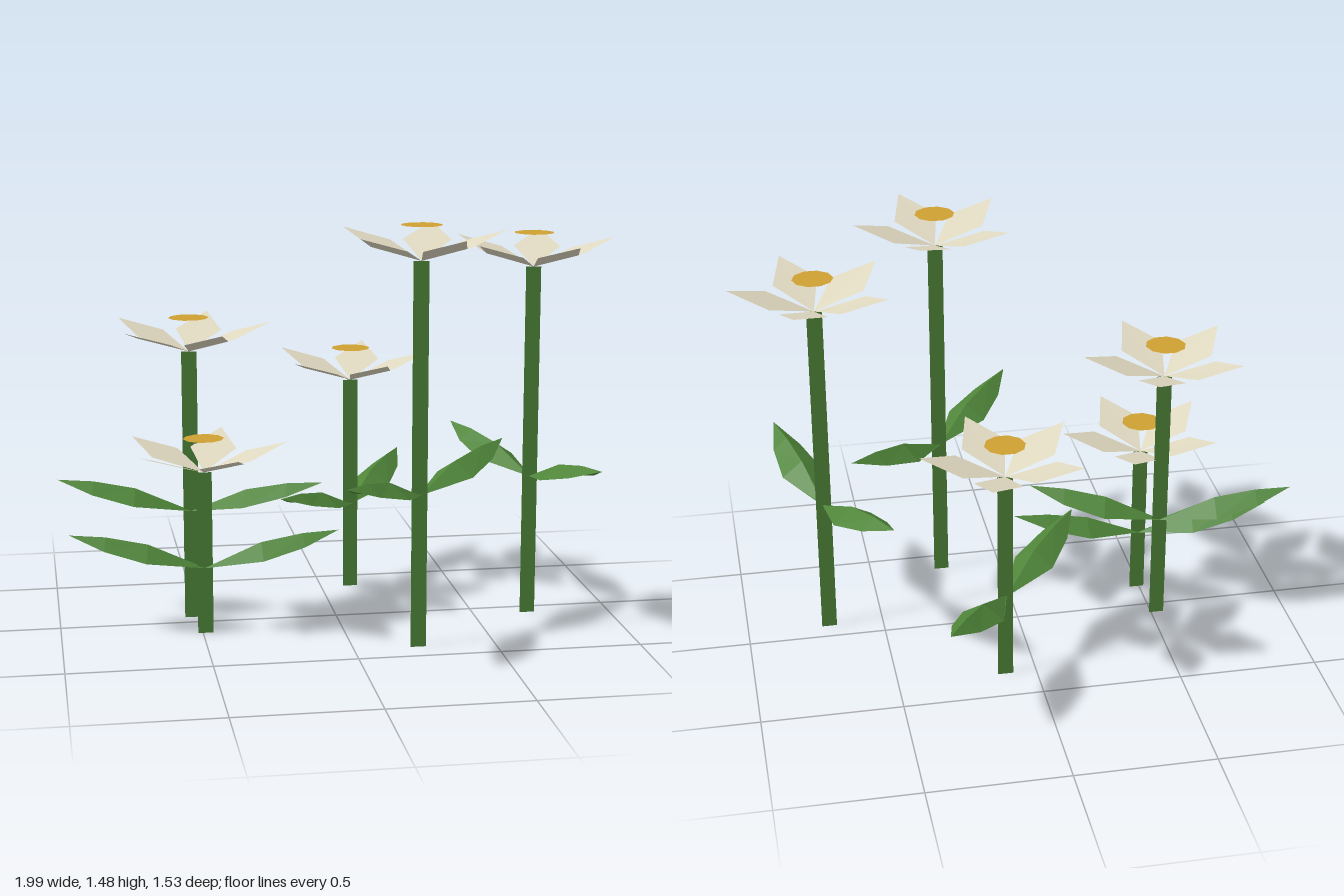
import * as THREE from 'three';

const mat = (name, color) => {
  const m = new THREE.MeshStandardMaterial({ color, flatShading: true, side: THREE.DoubleSide });
  m.name = name;
  return m;
};

function surface(points, index) {
  const indexed = new THREE.BufferGeometry();
  indexed.setAttribute('position', new THREE.Float32BufferAttribute(points, 3));
  indexed.setIndex(index);
  const g = indexed.toNonIndexed();
  g.computeVertexNormals();
  return g;
}

// Kite-shaped petal rising outwards along +x
function petalGeometry() {
  return surface([0, 0, 0, 0.158, 0.054, 0.084, 0.295, 0.1, 0, 0.158, 0.054, -0.084],
    [0, 1, 2, 0, 2, 3]);
}

// Leaf along +x with a raised midrib and two drooping halves
function leafGeometry() {
  // distance, half width, edge height, rib height
  const sections = [
    [0, 0.004, 0, 0],
    [0.2, 0.077, 0.036, 0.086],
    [0.35, 0.053, 0.074, 0.113],
    [0.479, 0, 0.12, 0.12],
  ];
  const points = [], index = [];
  sections.forEach(([x, w, edge, rib], i) => {
    points.push(x, edge, w, x, rib, 0, x, edge, -w);
    if (i === 0) return;
    for (let k = 0; k < 2; k++) {
      const a = (i - 1) * 3 + k, b = i * 3 + k;
      index.push(a, b, b + 1);
      if (i > 0) index.push(a, b + 1, a + 1);
    }
  });
  return surface(points, index);
}

export function createModel() {
  const green = mat('leafGreen', 0x4f8539);
  const cream = mat('petalCream', 0xdfd8c0);
  const gold = mat('centreGold', 0xcfa032);

  const petal = petalGeometry();
  const leaf = leafGeometry();
  const disc = new THREE.CircleGeometry(0.072, 10).rotateX(-Math.PI / 2);

  const model = new THREE.Group();
  model.name = 'flowers';

  // x, z, stem height, leaf height, direction of first leaf (degrees from +x to +z)
  const plants = [
    [0.112, -0.363, 0.805, 0.325, 131],
    [0.7, 0.07, 1.28, 0.515, 73.5],
    [0.227, 0.402, 1.355, 0.545, 319.5],
    [-0.52, -0.06, 0.985, 0.4, 15.5],
    [-0.49, 0.132, 0.588, 0.24, 188.5],
  ];

  for (const [x, z, height, leafY, angle] of plants) {
    const plant = new THREE.Group();
    plant.name = 'flower';
    plant.position.set(x, 0, z);
    const add = (name, geometry, material, y, degrees = 0) => {
      const mesh = new THREE.Mesh(geometry, material);
      mesh.name = name;
      mesh.position.y = y;
      mesh.rotation.y = -THREE.MathUtils.degToRad(degrees);
      plant.add(mesh);
    };
    // Flat ribbon stem
    add('stem', new THREE.PlaneGeometry(0.055, height), green, height / 2);
    // Pair of nearly opposite leaves
    add('leaf', leaf, green, leafY, angle);
    add('leaf', leaf, green, leafY, angle + 171.5);
    // Bloom with its centre floating in the cup
    for (let i = 0; i < 5; i++) add('petal', petal, cream, height, i * 72);
    add('flowerCentre', disc, gold, height + 0.122);
    model.add(plant);
  }
  return model;
}
